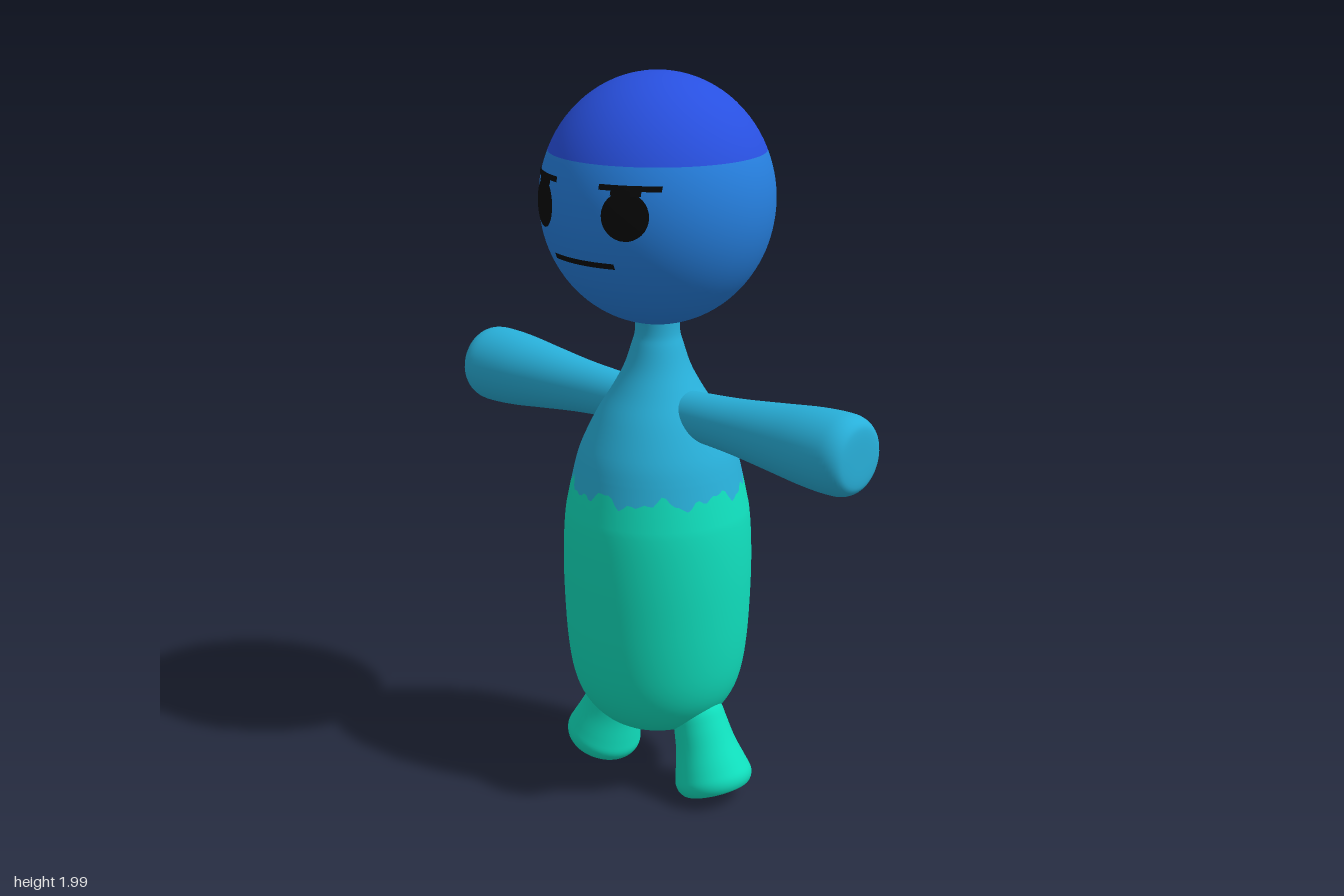
import * as THREE from 'three';

const mat = (name, color, side = THREE.FrontSide) => {
  const m = new THREE.MeshStandardMaterial({ color, side });
  m.name = name;
  return m;
};

// Smooth curve through [radius, height] points, bottom to top
const smooth = (pts, n) => new THREE.SplineCurve(pts.map(p => new THREE.Vector2(...p)))
  .getPoints(n).map(p => new THREE.Vector2(Math.max(p.x, 0), p.y));

export function createModel() {
  const capBlue = mat('cap blue', 0x2850e0);
  const faceBlue = mat('face blue', 0x2680e0);
  const skyBlue = mat('sky blue', 0x28b0da);
  const green = mat('sea green', 0x10e0be);
  const black = mat('black', 0x080808, THREE.DoubleSide);
  const model = new THREE.Group();
  const add = (name, geometry, material, parent = model) => {
    const mesh = new THREE.Mesh(geometry, material);
    mesh.name = name;
    parent.add(mesh);
    return mesh;
  };

  // Head: an egg split into cap and face at y = 1.8
  const head = new THREE.Group();
  head.name = 'head';
  model.add(head);
  const R = 0.31, H = 0.33, headY = 1.67, split = Math.acos(0.13 / H);
  const cap = add('cap', new THREE.SphereGeometry(1, 64, 16, 0, Math.PI * 2, 0, split), capBlue, head);
  const face = add('face', new THREE.SphereGeometry(1, 64, 32, 0, Math.PI * 2, split, Math.PI - split), faceBlue, head);
  for (const part of [cap, face]) {
    part.scale.set(R, H, R);
    part.position.y = headY;
  }

  // Face details: flat shapes wrapped onto the front of the head
  const paint = (name, geometry, x, y) => {
    geometry.translate(x, y, 0);
    const p = geometry.attributes.position;
    for (let i = 0; i < p.count; i++) {
      const dx = p.getX(i) / R, dy = (p.getY(i) - headY) / H;
      p.setZ(i, R * Math.sqrt(Math.max(0, 1 - dx * dx - dy * dy)) + 0.004);
    }
    geometry.computeVertexNormals();
    add(name, geometry, black, head);
  };
  for (const [side, s] of [['left', 1], ['right', -1]]) {
    paint(side + 'Eye', new THREE.RingGeometry(0, 1, 32, 6).scale(0.055, 0.062, 1), s * 0.14, 1.68);
    paint(side + 'Brow', new THREE.PlaneGeometry(0.14, 0.014, 16, 2), s * 0.143, 1.75);
    paint(side + 'BrowThick', new THREE.PlaneGeometry(0.07, 0.016, 10, 2), s * 0.14, 1.739);
  }
  paint('mouth', new THREE.PlaneGeometry(0.205, 0.015, 20, 2), 0, 1.548);

  // Body: one profile, split in two colours along a ragged waistline
  const waist = 0.9;
  const lower = smooth([[0, 0.165], [0.07, 0.178], [0.145, 0.21], [0.2, 0.265], [0.233, 0.34], [0.25, 0.45],
    [0.258, 0.6], [0.258, 0.72], [0.251, 0.82], [0.235, waist]], 40).filter(p => p.y < 0.85);
  lower.push(new THREE.Vector2(0.235, waist));
  const upper = [new THREE.Vector2(0.235, waist), ...smooth([[0.226, 0.94], [0.208, 1], [0.165, 1.09],
    [0.122, 1.16], [0.09, 1.22], [0.07, 1.28], [0.06, 1.32], [0.06, 1.4]], 32)];
  const wave = a => 0.012 * Math.sin(9 * a + 1) + 0.008 * Math.sin(17 * a) + 0.006 * Math.sin(31 * a + 2);
  const bodyPart = (name, profile, material) => {
    const g = new THREE.LatheGeometry(profile, 128);
    const p = g.attributes.position;
    for (let i = 0; i < p.count; i++) {
      if (Math.abs(p.getY(i) - waist) > 1e-5) continue;
      const x = p.getX(i), z = p.getZ(i), dy = wave(Math.atan2(x, z));
      const k = 1 - dy * 0.23 / 0.235;
      p.setXYZ(i, x * k, waist + dy, z * k);
    }
    add(name, g, material);
  };
  bodyPart('lowerBody', lower, green);
  bodyPart('upperBody', upper, skyBlue);

  // Limbs: flared tubes with rounded flat ends
  const armProfile = smooth([[0, 0.03], [0.04, 0.04], [0.06, 0.08], [0.065, 0.15], [0.074, 0.28], [0.09, 0.42],
    [0.102, 0.52], [0.107, 0.6], [0.104, 0.645], [0.088, 0.672], [0.06, 0.68], [0, 0.681]], 48);
  const legProfile = smooth([[0, -0.28], [0.045, -0.27], [0.068, -0.235], [0.075, -0.19], [0.084, -0.13],
    [0.1, -0.07], [0.108, -0.035], [0.1, -0.01], [0.08, 0], [0, 0.002]], 40);
  for (const [side, s] of [['left', 1], ['right', -1]]) {
    const arm = add(side + 'Arm', new THREE.LatheGeometry(armProfile, 40), skyBlue);
    arm.position.y = 1.105;
    arm.rotation.z = -s * Math.PI / 2;
    const leg = add(side + 'Leg', new THREE.LatheGeometry(legProfile, 40), green);
    leg.position.set(s * 0.222, 0.035, 0);
    leg.rotation.z = -s * (Math.PI - 0.325);
  }
  return model;
}
